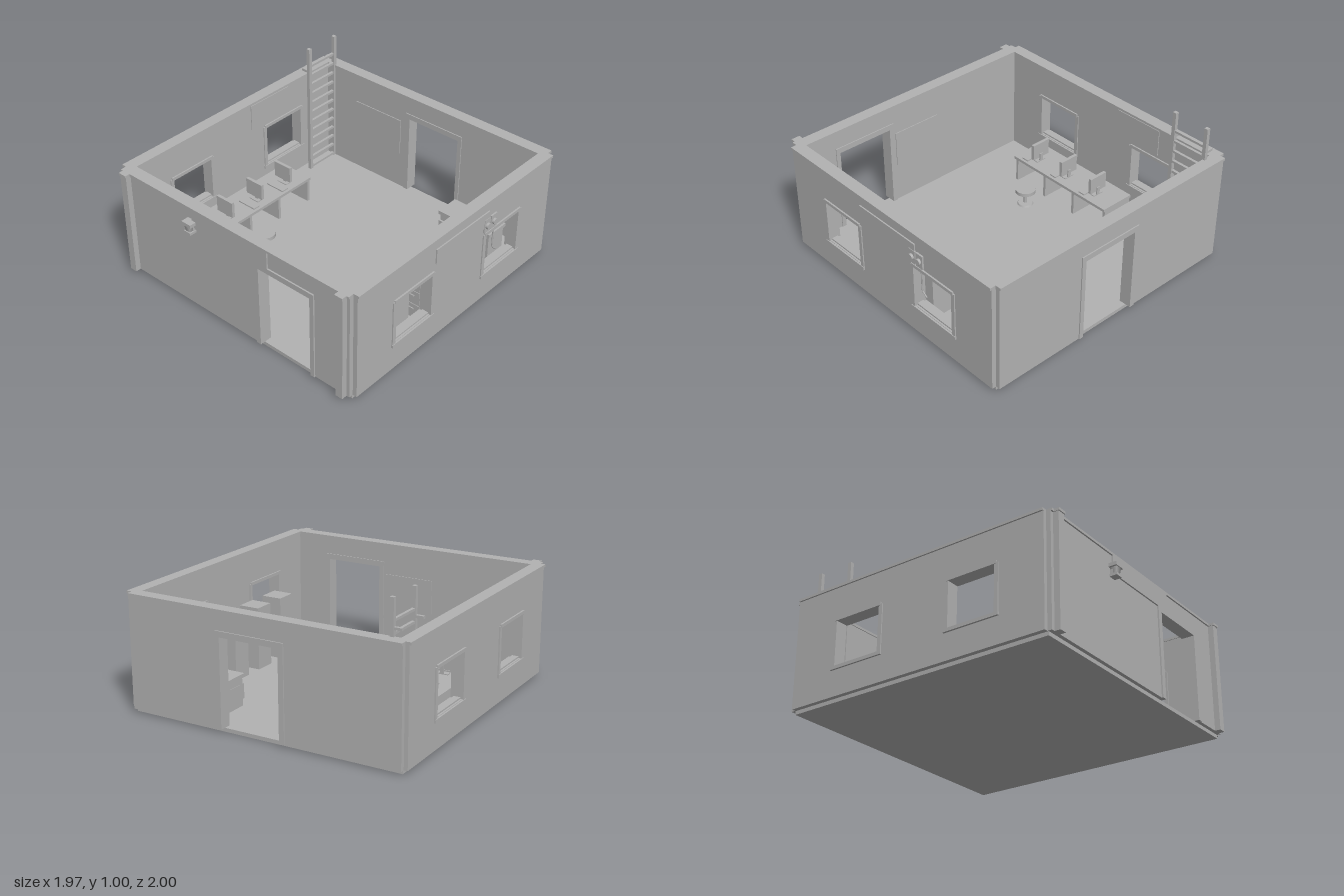
import * as THREE from 'three';

const grey = new THREE.MeshStandardMaterial({ color: 0xb2b2b2 });
grey.name = 'plain grey';

export function createModel() {
  const model = new THREE.Group();
  model.name = 'roofless cabin';
  const add = (name, geo, parent = model) => {
    const m = new THREE.Mesh(geo, grey);
    m.name = name;
    parent.add(m);
    return m;
  };
  // Box given by its limits on each axis
  const box = (name, x0, x1, y0, y1, z0, z1, parent) => {
    const m = add(name, new THREE.BoxGeometry(x1 - x0, y1 - y0, z1 - z0), parent);
    m.position.set((x0 + x1) / 2, (y0 + y1) / 2, (z0 + z1) / 2);
    return m;
  };
  const cyl = (name, r0, r1, h, x, y, z, sides = 24, parent) => {
    const m = add(name, new THREE.CylinderGeometry(r0, r1, h, sides), parent);
    m.position.set(x, y, z);
    return m;
  };

  const FLOOR = 0.025, TOP = 0.767, DOOR = 0.605;
  // Wall outline along u, with an optional doorway and window holes
  const wallGeo = (u0, u1, thick, door, windows = []) => {
    const pts = [[u0, FLOOR]];
    if (door) pts.push([door[0], FLOOR], [door[0], DOOR], [door[1], DOOR], [door[1], FLOOR]);
    pts.push([u1, FLOOR], [u1, TOP], [u0, TOP]);
    const s = new THREE.Shape(pts.map(p => new THREE.Vector2(...p)));
    for (const [a, b] of windows) {
      s.holes.push(new THREE.Path([[a, 0.225], [a, 0.525], [b, 0.525], [b, 0.225]].map(p => new THREE.Vector2(...p))));
    }
    return new THREE.ExtrudeGeometry(s, { depth: thick, bevelEnabled: false });
  };

  // Floor and walls
  box('floor', -0.945, 0.93, 0, FLOOR, -0.96, 0.92);
  const frontDoor = [0.23, 0.635], backDoor = [-0.15, 0.26];
  const windows = [[0.25, 0.58], [-0.62, -0.28]];
  add('frontWall', wallGeo(-0.95, 0.93, 0.07, frontDoor)).position.z = 0.875;
  add('backWall', wallGeo(-0.95, 0.93, 0.07, backDoor)).position.z = -0.99;
  for (const [name, x] of [['rightWall', -0.905], ['leftWall', 0.96]]) {
    const w = add(name, wallGeo(-0.96, 0.915, 0.07, null, windows));
    w.rotation.y = -Math.PI / 2;
    w.position.x = x;
  }

  // Coping along the wall tops
  box('frontCoping', -0.95, 0.93, 0.758, 0.775, 0.87, 0.955);
  box('backCoping', -0.95, 0.93, 0.758, 0.775, -1, -0.915);
  box('rightCoping', -0.985, -0.9, 0.758, 0.775, -0.96, 0.915);
  box('leftCoping', 0.885, 0.97, 0.758, 0.775, -0.96, 0.915);

  // Front pilasters
  for (const x of [-0.9, 0.883]) {
    box('pilaster', x - 0.026, x + 0.026, FLOOR, 0.76, 0.94, 0.983);
    box('pilasterCap', x - 0.03, x + 0.03, 0.758, 0.775, 0.94, 0.99);
  }

  // Door frames
  const doorFrame = (name, [a, b], z0, z1) => {
    const g = new THREE.Group();
    g.name = name;
    model.add(g);
    box('jamb', a - 0.035, a, FLOOR, 0.64, z0, z1, g);
    box('jamb', b, b + 0.03, FLOOR, 0.64, z0, z1, g);
    box('lintel', a - 0.035, b + 0.03, DOOR, 0.643, z0, z1, g);
  };
  doorFrame('frontDoorFrame', frontDoor, 0.868, 0.955);
  doorFrame('backDoorFrame', backDoor, -0.998, -0.913);

  // Window frames
  for (const [x0, x1] of [[-0.983, -0.898], [0.883, 0.968]]) {
    for (const [a, b] of windows) {
      const g = new THREE.Group();
      g.name = 'windowFrame';
      model.add(g);
      box('side', a - 0.027, a, 0.2, 0.53, x0 && a, b, g).visible = true;
      g.clear();
      for (const [s, e] of [[a - 0.027, a], [b, b + 0.027]]) box('jamb', x0, x1, 0.21, 0.535, s, e, g);
      box('header', x0 - 0.003, x1 + 0.003, 0.525, 0.547, a - 0.015, b + 0.015, g);
      box('sill', x0 - 0.004, x1 + 0.004, 0.2, 0.222, a - 0.03, b + 0.03, g);
      box('innerSill', x0 + 0.02, x1 - 0.02, 0.22, 0.235, a, b, g);
    }
  }

  // Sign boards and wall panels
  box('frontSign', -0.32, 0.305, 0.638, 0.774, 0.94, 0.955);
  box('sideSign', 0.955, 0.969, 0.59, 0.697, -0.3, 0.22);
  box('backWallPanel', -0.63, -0.23, 0.29, 0.56, -0.925, -0.914);
  box('frontWallPanel', -0.18, 0.18, 0.3, 0.555, 0.869, 0.88);
  box('rightWallPanel', -0.91, -0.899, 0.57, 0.755, -0.5, -0.14);

  // Lantern beside the front door
  box('lanternMount', -0.345, -0.3, 0.62, 0.68, 0.94, 0.965);
  box('lanternCap', -0.36, -0.285, 0.665, 0.688, 0.945, 1);
  const lantern = cyl('lanternBody', 0.034, 0.025, 0.045, -0.3225, 0.643, 0.97, 4);
  lantern.geometry.rotateY(Math.PI / 4);
  box('lanternBase', -0.35, -0.295, 0.605, 0.622, 0.945, 0.995);

  // Two meters with a drooping cable on the left wall
  for (const z of [-0.278, -0.345]) {
    box('meterBox', 0.955, 0.972, 0.555, 0.65, z - 0.029, z + 0.029);
    cyl('meterDial', 0.021, 0.021, 0.02, 0.977, 0.602, z).rotation.z = Math.PI / 2;
  }
  const cable = new THREE.CurvePath();
  const cp = [[0.57, -0.355], [0.39, -0.355], [0.358, -0.395]].map(([y, z]) => new THREE.Vector3(0.964, y, z));
  cable.add(new THREE.LineCurve3(cp[0], cp[1]));
  cable.add(new THREE.LineCurve3(cp[1], cp[2]));
  add('cable', new THREE.TubeGeometry(cable, 12, 0.005, 6));

  // Ladder in the back corner
  const ladder = new THREE.Group();
  ladder.name = 'ladder';
  model.add(ladder);
  for (const z of [-0.918, -0.664]) {
    box('rail', -0.86, -0.835, FLOOR, 1, z - 0.013, z + 0.013, ladder);
    box('bracket', -0.91, -0.84, 0.815, 0.832, z - 0.01, z + 0.01, ladder);
  }
  for (let i = 0; i < 12; i++) {
    const y = 0.04 + i * 0.075;
    box('rung', -0.857, -0.838, y - 0.008, y + 0.008, -0.91, -0.67, ladder);
  }

  // Long desk with three workstations
  box('deskTop', -0.825, -0.57, 0.198, 0.218, -0.36, 0.51);
  box('deskBack', -0.815, -0.8, FLOOR, 0.2, -0.35, 0.5);
  for (const z of [-0.35, -0.06, 0.215, 0.49]) box('deskPanel', -0.815, -0.58, FLOOR, 0.2, z - 0.01, z + 0.01);
  for (const z of [-0.195, 0.08, 0.355]) {
    box('monitor', -0.74, -0.598, 0.25, 0.365, z - 0.012, z + 0.01);
    box('monitorNeck', -0.68, -0.655, 0.22, 0.28, z - 0.018, z - 0.008);
    box('monitorFoot', -0.71, -0.63, 0.217, 0.224, z - 0.016, z + 0.016);
    box('keyboard', -0.735, -0.59, 0.217, 0.227, z + 0.04, z + 0.093);
  }

  // Round stool
  cyl('stoolSeat', 0.07, 0.07, 0.025, -0.425, 0.138, 0.24, 32);
  cyl('stoolPost', 0.012, 0.012, 0.11, -0.425, 0.075, 0.24, 16);
  cyl('stoolBase', 0.05, 0.055, 0.012, -0.425, 0.031, 0.24, 32);

  // Counter with tap and a drawer box below
  box('counterTop', 0.36, 0.775, 0.22, 0.245, -0.785, -0.607);
  box('counterSide', 0.372, 0.43, 0.03, 0.222, -0.775, -0.615);
  box('counterSide', 0.71, 0.765, 0.03, 0.222, -0.775, -0.615);
  box('drawerBox', 0.37, 0.47, 0.075, 0.175, -0.77, -0.6);
  cyl('tap', 0.015, 0.015, 0.012, 0.71, 0.249, -0.673);
  box('tapLever', 0.715, 0.738, 0.247, 0.254, -0.677, -0.669);

  // Three filing cabinets facing the front
  for (const z of [-0.265, 0.002, 0.27]) {
    box('cabinet', 0.67, 0.815, FLOOR, 0.455, z, z + 0.147);
    for (let i = 0; i < 4; i++) {
      const y = 0.045 + i * 0.103;
      box('drawerFront', 0.68, 0.805, y, y + 0.09, z + 0.14, z + 0.151);
      box('drawerHandle', 0.72, 0.765, y + 0.05, y + 0.06, z + 0.15, z + 0.158);
    }
  }
  return model;
}
